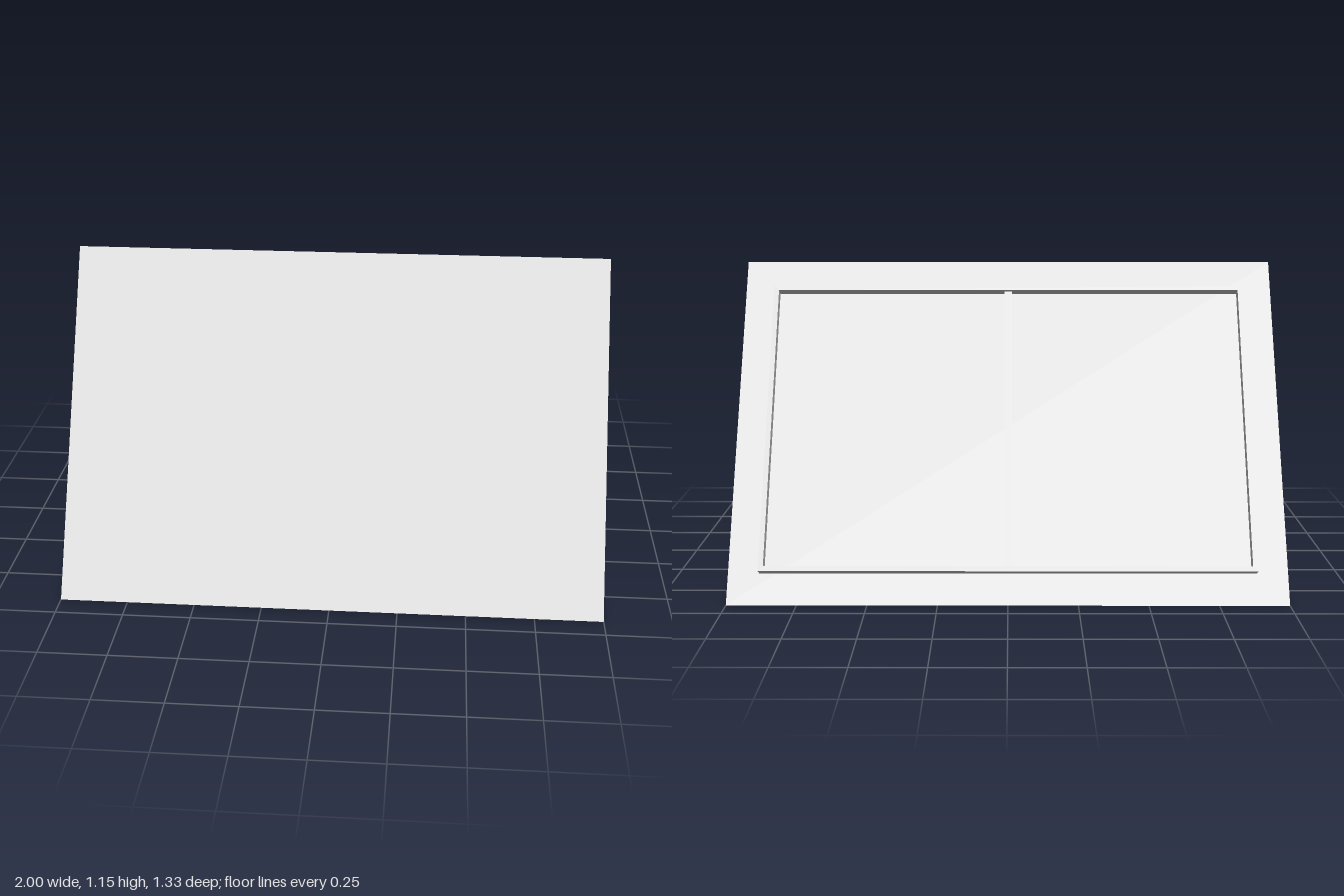
import * as THREE from 'three';

const LENGTH = 2;
const HALF_BASE = 2 / 3;
const HEIGHT = HALF_BASE * Math.sqrt(3);

// Adds a centred rectangle outline to a shape or path
function rectangle(path, width, height) {
  const x = width / 2, y = height / 2;
  path.moveTo(-x, -y);
  path.lineTo(x, -y);
  path.lineTo(x, y);
  path.lineTo(-x, y);
  path.closePath();
  return path;
}

export function createModel() {
  const model = new THREE.Group();
  const grey = new THREE.MeshStandardMaterial({ name: 'light grey', color: 0xcccccc });

  function add(parent, name, geometry) {
    const mesh = new THREE.Mesh(geometry, grey);
    mesh.name = name;
    parent.add(mesh);
    return mesh;
  }

  // Solid equilateral prism lying along x
  const triangle = new THREE.Shape([
    new THREE.Vector2(-HALF_BASE, 0),
    new THREE.Vector2(HALF_BASE, 0),
    new THREE.Vector2(0, HEIGHT),
  ]);
  const prism = new THREE.ExtrudeGeometry(triangle, { depth: LENGTH, bevelEnabled: false });
  prism.translate(0, 0, -LENGTH / 2).rotateY(Math.PI / 2);
  add(model, 'prismBody', prism);

  // Window group lies flat on the rear slope, its local z pointing outward
  const rearWindow = new THREE.Group();
  rearWindow.name = 'rearWindow';
  rearWindow.position.set(0, HEIGHT / 2, -HALF_BASE / 2);
  rearWindow.rotation.set(Math.PI / 6, Math.PI, 0);
  model.add(rearWindow);

  // Thin raised border
  const width = 1.776, height = 1.102, rail = 0.018;
  const border = rectangle(new THREE.Shape(), width, height);
  border.holes.push(rectangle(new THREE.Path(), width - 2 * rail, height - 2 * rail));
  add(rearWindow, 'windowFrame',
    new THREE.ExtrudeGeometry(border, { depth: 0.038, bevelEnabled: false }));

  // Central bar, lower than the border
  const barDepth = 0.024;
  const bar = add(rearWindow, 'windowMullion',
    new THREE.BoxGeometry(0.028, height - 2 * rail, barDepth));
  bar.position.z = barDepth / 2;

  return model;
}
